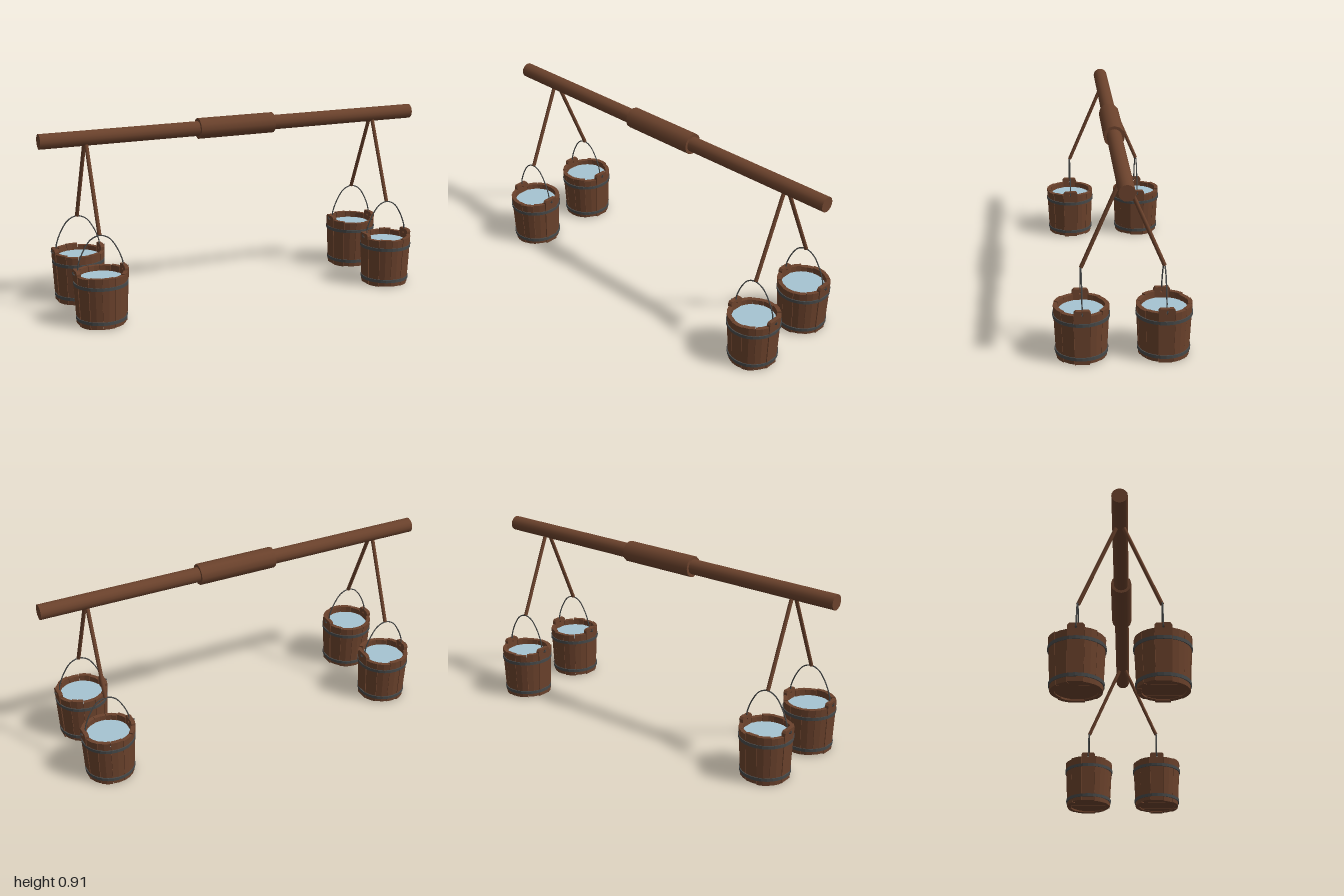
import * as THREE from 'three';

const wood = new THREE.MeshStandardMaterial({ color: 0x6b422c });
wood.name = 'brown wood';
const iron = new THREE.MeshStandardMaterial({ color: 0x484a4a });
iron.name = 'dark iron';
const water = new THREE.MeshStandardMaterial({ color: 0xa6c4d2 });
water.name = 'pale water';

function add(parent, name, geometry, material) {
  const mesh = new THREE.Mesh(geometry, material);
  mesh.name = name;
  parent.add(mesh);
  return mesh;
}

function seeded(seed) {
  return () => (seed = (seed * 16807) % 2147483647) / 2147483647;
}

// Outer bucket radius at height y
const radiusAt = (y) => 0.117 + 0.048 * y;

// Curved, tapered stave between two angles (angle 0 faces +z)
function staveGeometry(a0, a1, y0, y1, bulge) {
  const geo = new THREE.BoxGeometry(1, 1, 1, 2, 1, 1).toNonIndexed();
  const p = geo.attributes.position;
  for (let i = 0; i < p.count; i++) {
    const a = a0 + (p.getX(i) + 0.5) * (a1 - a0);
    const y = p.getY(i) > 0 ? y1 : y0;
    const r = radiusAt(y) + bulge - (p.getZ(i) > 0 ? 0 : 0.02);
    p.setXYZ(i, Math.sin(a) * r, y, Math.cos(a) * r);
  }
  geo.computeVertexNormals();
  return geo;
}

// Tall stave with clipped corners and a hole for the handle
function earGeometry() {
  const s = new THREE.Shape();
  s.moveTo(-0.034, 0.003);
  s.lineTo(0.034, 0.003);
  s.lineTo(0.038, 0.263);
  s.lineTo(0.03, 0.273);
  s.lineTo(-0.03, 0.273);
  s.lineTo(-0.038, 0.263);
  const hole = new THREE.Path();
  hole.absarc(0, 0.253, 0.006, 0, Math.PI * 2, true);
  s.holes.push(hole);
  const geo = new THREE.ExtrudeGeometry(s, { depth: 0.02, bevelEnabled: false, curveSegments: 8 });
  const p = geo.attributes.position;
  for (let i = 0; i < p.count; i++) p.setZ(i, p.getZ(i) + radiusAt(p.getY(i)) - 0.022);
  geo.computeVertexNormals();
  return geo;
}

// Flat iron band following the taper
function hoopGeometry(y, height) {
  const r0 = radiusAt(y) + 0.004, r1 = radiusAt(y + height) + 0.004;
  const profile = [[r0 - 0.007, y], [r0, y], [r1, y + height], [r1 - 0.007, y + height], [r0 - 0.007, y]];
  const geo = new THREE.LatheGeometry(profile.map(([x, h]) => new THREE.Vector2(x, h)), 28).toNonIndexed();
  geo.computeVertexNormals();
  return geo;
}

// One board of the round bucket floor
function floorBoardGeometry(x0, x1, r) {
  const s = new THREE.Shape();
  const steps = 6;
  const edge = (i) => {
    const x = x0 + (x1 - x0) * i / steps;
    return [x, Math.sqrt(Math.max(0, r * r - x * x))];
  };
  for (let i = 0; i <= steps; i++) {
    const [x, z] = edge(i);
    if (i) s.lineTo(x, -z); else s.moveTo(x, -z);
  }
  for (let i = steps; i >= 0; i--) s.lineTo(...edge(i));
  return new THREE.ExtrudeGeometry(s, { depth: 0.012, bevelEnabled: false }).rotateX(-Math.PI / 2);
}

function createBucket(seed) {
  const bucket = new THREE.Group();
  bucket.name = 'bucket';
  const rand = seeded(seed);

  // Side staves, five between the ears on each half
  const earHalf = 0.3, step = (Math.PI - 2 * earHalf) / 5;
  for (const start of [-Math.PI / 2, Math.PI / 2]) {
    for (let i = 0; i < 5; i++) {
      const a = start + earHalf + i * step;
      add(bucket, 'stave', staveGeometry(a + 0.008, a + step - 0.008,
        rand() * 0.008, 0.245 + rand() * 0.009, (rand() - 0.5) * 0.003), wood);
    }
    add(bucket, 'earStave', earGeometry(), wood).rotation.y = start;
  }

  // Floor boards
  const boards = 4, r = 0.107;
  for (let i = 0; i < boards; i++) {
    const x0 = -r + 2 * r * i / boards;
    add(bucket, 'floorBoard', floorBoardGeometry(x0 + 0.001, x0 + 2 * r / boards - 0.001, r), wood)
      .position.y = 0.009 + rand() * 0.003;
  }

  // Hoops
  add(bucket, 'lowerHoop', hoopGeometry(0.024, 0.016), iron);
  add(bucket, 'upperHoop', hoopGeometry(0.195, 0.016), iron);

  // Water surface
  add(bucket, 'water', new THREE.CircleGeometry(0.112, 28).rotateX(-Math.PI / 2), water).position.y = 0.222;

  // Arched wire handle with hooked ends through the ears
  const half = [[0.134, 0.268], [0.136, 0.256], [0.125, 0.252], [0.114, 0.258], [0.109, 0.295], [0.083, 0.36], [0.045, 0.412]];
  const points = [
    ...half.map(([x, y]) => new THREE.Vector3(-x, y, 0)),
    new THREE.Vector3(0, 0.429, 0),
    ...half.slice().reverse().map(([x, y]) => new THREE.Vector3(x, y, 0)),
  ];
  add(bucket, 'handle', new THREE.TubeGeometry(new THREE.CatmullRomCurve3(points), 64, 0.0032, 6), iron);
  return bucket;
}

// Round wooden hanger between two points
function addHanger(parent, from, to) {
  const dir = to.clone().sub(from);
  const mesh = add(parent, 'hanger', new THREE.CylinderGeometry(0.0095, 0.0095, dir.length(), 10), wood);
  mesh.position.copy(from).add(to).multiplyScalar(0.5);
  mesh.quaternion.setFromUnitVectors(new THREE.Vector3(0, 1, 0), dir.normalize());
}

export function createModel() {
  const model = new THREE.Group();
  model.name = 'waterYoke';

  // Carrying beam with thicker shoulder grip
  add(model, 'beam', new THREE.CylinderGeometry(0.037, 0.037, 2, 16).rotateZ(Math.PI / 2), wood).position.y = 0.857;
  add(model, 'shoulderGrip', new THREE.CylinderGeometry(0.052, 0.052, 0.4, 12).rotateZ(Math.PI / 2), wood)
    .position.y = 0.857;

  // Four hangers and buckets
  let seed = 11;
  for (const x of [-0.775, 0.772]) {
    for (const side of [-1, 1]) {
      addHanger(model, new THREE.Vector3(x, 0.84, side * 0.012), new THREE.Vector3(x, 0.43, side * 0.187));
      const bucket = createBucket(seed += 977);
      bucket.position.set(x, 0, side * 0.188);
      model.add(bucket);
    }
  }
  return model;
}
